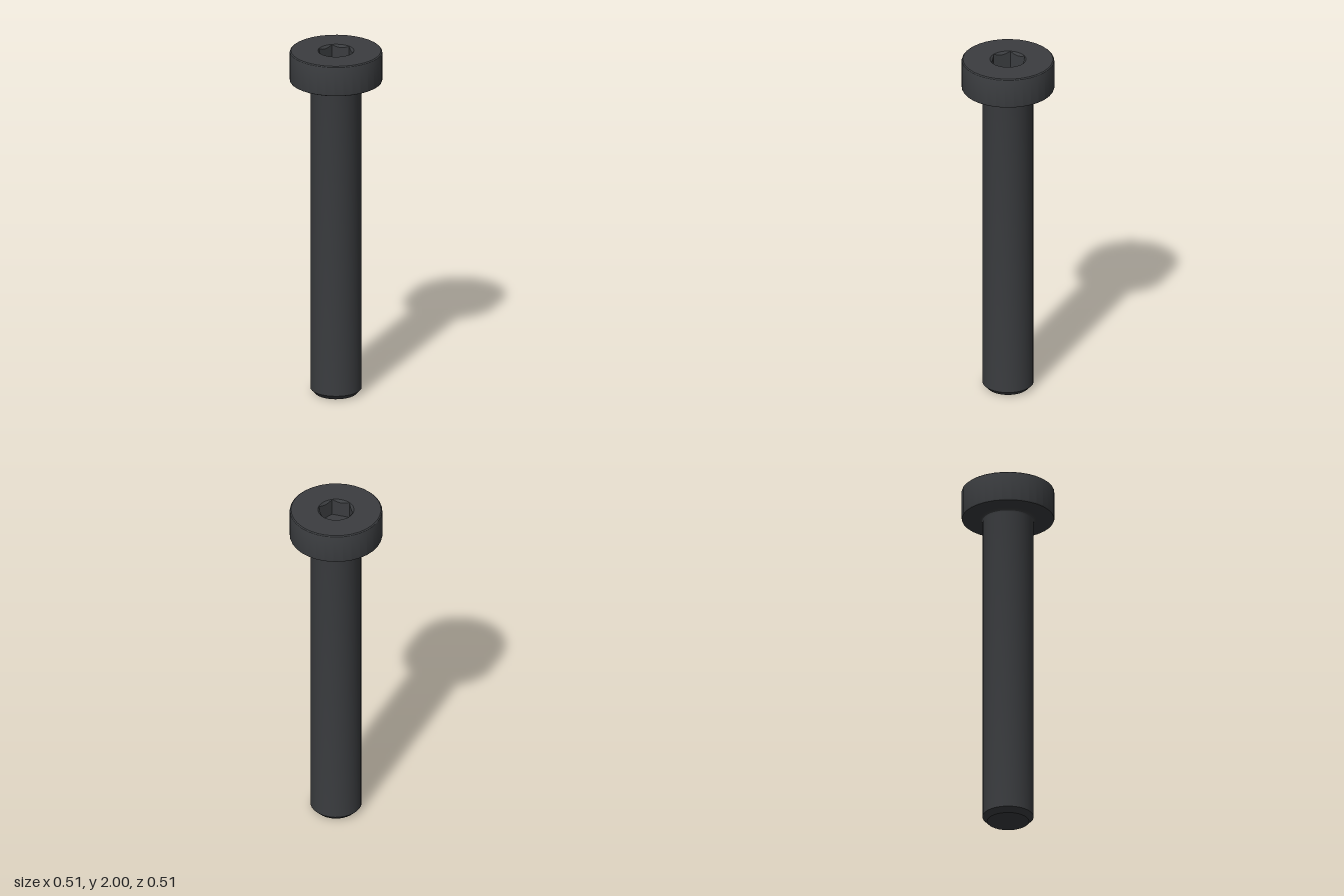
import * as THREE from 'three';
import { toCreasedNormals } from 'three/addons/utils/BufferGeometryUtils.js';

const SIDES = 32;
const SOCKET_R = 0.099; // hex corner radius, same as the countersink rim
const SOCKET_FLOOR = 1.9;
const TOP = 2;

// Surface of revolution from [radius, height] pairs, bottom to top
function revolve(points) {
  const profile = points.map(([r, y]) => new THREE.Vector2(r, y));
  return toCreasedNormals(new THREE.LatheGeometry(profile, SIDES), 0.35);
}

// Distance from the axis to the hexagon outline at a given angle
function hexRadius(angle) {
  const sector = Math.PI / 3;
  const local = (angle % sector) - sector / 2;
  return SOCKET_R * Math.cos(sector / 2) / Math.cos(local);
}

// Inward-facing band between two outlines, each mapping an angle to [radius, height]
function band(upper, lower, steps = 48) {
  const positions = [];
  const point = (outline, i) => {
    const angle = (i % steps) / steps * Math.PI * 2 + 1e-7;
    const [r, y] = outline(angle);
    return [r * Math.cos(angle), y, r * Math.sin(angle)];
  };
  for (let i = 0; i < steps; i++) {
    const a = point(upper, i), b = point(upper, i + 1);
    const c = point(lower, i), d = point(lower, i + 1);
    positions.push(...a, ...c, ...b, ...b, ...c, ...d);
  }
  const geometry = new THREE.BufferGeometry();
  geometry.setAttribute('position', new THREE.Float32BufferAttribute(positions, 3));
  return toCreasedNormals(geometry, 0.35);
}

function regularPolygon(PathType, radius, sides) {
  const points = Array.from({ length: sides }, (_, i) => {
    const a = i / sides * Math.PI * 2;
    return new THREE.Vector2(radius * Math.cos(a), radius * Math.sin(a));
  });
  return new PathType(points);
}

export function createModel() {
  const group = new THREE.Group();
  group.name = 'socketHeadBolt';
  const material = new THREE.MeshStandardMaterial({ color: 0x3b3d40 });
  const add = (name, geometry) => {
    const mesh = new THREE.Mesh(geometry, material);
    mesh.name = name;
    group.add(mesh);
  };

  // Shank with chamfered tip and a small fillet below the head
  add('shank', revolve([
    [0, 0], [0.115, 0], [0.141, 0.027], [0.141, 1.808],
    [0.143, 1.816], [0.148, 1.822], [0.155, 1.825],
  ]));

  // Head underside, side wall and softened edges
  add('head', revolve([
    [0.155, 1.825], [0.247, 1.825], [0.253, 1.828], [0.255, 1.834],
    [0.255, 1.988], [0.253, 1.995], [0.247, TOP],
  ]));

  // Flat top face around the socket
  const face = regularPolygon(THREE.Shape, 0.247, SIDES);
  face.holes.push(regularPolygon(THREE.Path, SOCKET_R, 48));
  add('headTop', new THREE.ShapeGeometry(face).rotateX(-Math.PI / 2).translate(0, TOP, 0));

  // Conical countersink cut into the hexagonal walls
  const rim = () => [SOCKET_R, TOP];
  const hexEdge = (a) => [hexRadius(a), TOP - (SOCKET_R - hexRadius(a))];
  const hexBase = (a) => [hexRadius(a), SOCKET_FLOOR];
  add('socketChamfer', band(rim, hexEdge));
  add('socketWalls', band(hexEdge, hexBase));
  add('socketFloor', new THREE.CircleGeometry(SOCKET_R, 6)
    .rotateX(-Math.PI / 2).translate(0, SOCKET_FLOOR, 0));

  return group;
}
